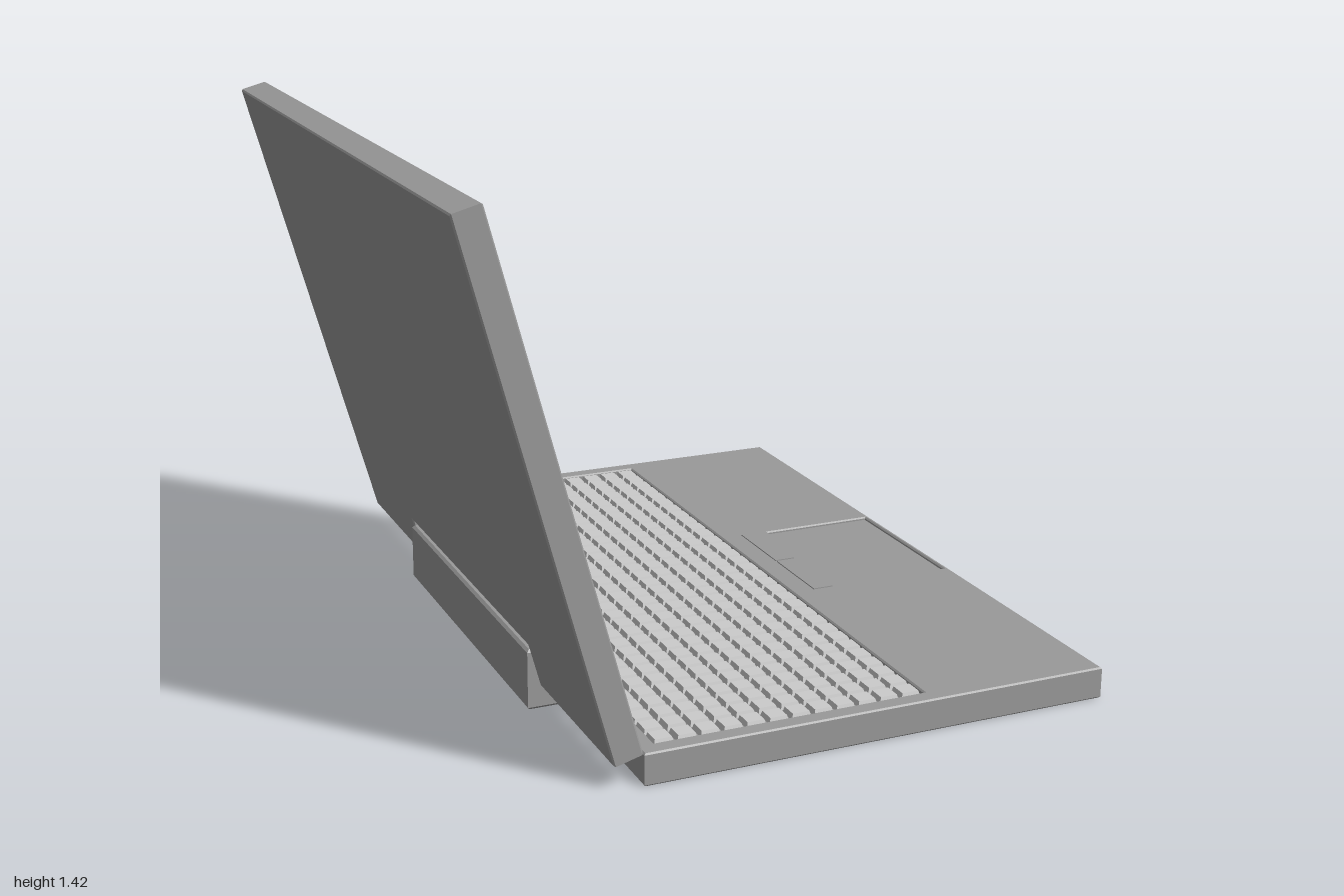
import * as THREE from 'three';
import { mergeGeometries } from 'three/addons/utils/BufferGeometryUtils.js';

const bodyMat = new THREE.MeshStandardMaterial({ color: 0x999999, flatShading: true });
const lightMat = new THREE.MeshStandardMaterial({ color: 0xcccccc, flatShading: true });

// corners of a rectangle
const rect = (x0, y0, x1, y1) => [[x0, y0], [x1, y0], [x1, y1], [x0, y1]];
const toVectors = (pts) => pts.map(([x, y]) => new THREE.Vector2(x, y));

// chamfered slab of height h from an outline with optional holes
function slab(outline, h, chamfer, holes = []) {
  const shape = new THREE.Shape(toVectors(outline));
  for (const hole of holes) shape.holes.push(new THREE.Path(toVectors(hole)));
  const geo = new THREE.ExtrudeGeometry(shape, {
    depth: h - 2 * chamfer, bevelEnabled: true, bevelSegments: 1,
    bevelThickness: chamfer, bevelSize: chamfer, bevelOffset: -chamfer,
  });
  return geo.translate(0, 0, chamfer);
}

function add(parent, name, geo, mat = bodyMat) {
  const mesh = new THREE.Mesh(geo, mat);
  mesh.name = name;
  parent.add(mesh);
  return mesh;
}

// slab lying flat, starting at height y
const flat = (outline, y, h, chamfer, holes) =>
  slab(outline, h, chamfer, holes).rotateX(-Math.PI / 2).translate(0, y, 0);

// slab standing upright facing +x, its back at x
const upright = (outline, x, h, chamfer, holes) =>
  slab(outline, h, chamfer, holes).rotateY(Math.PI / 2).translate(x, 0, 0);

function createBase() {
  const base = new THREE.Group();
  base.name = 'base';
  const outline = rect(-0.42, -1, 0.855, 1);
  const keyWell = rect(-0.376, -0.953, 0.357, 0.953);
  const padWell = rect(0.507, -0.235, 0.842, 0.235);

  // lower shell, and top deck with openings for keys and trackpad
  add(base, 'lowerShell', flat(outline, 0, 0.07, 0.004));
  add(base, 'topDeck', flat(outline, 0.06, 0.025, 0.004, [keyWell, padWell]));
  add(base, 'trackpad', flat(padWell, 0.065, 0.012, 0.001));

  // two buttons behind the trackpad
  for (const s of [-1, 1]) {
    const button = new THREE.BoxGeometry(0.06, 0.006, 0.232);
    add(base, 'trackpadButton', button.translate(0.45, 0.085, s * 0.12));
  }

  // grid of tapered keys
  const pitch = 0.0611, columns = 12, rows = 31;
  const key = new THREE.CylinderGeometry(0.045 / Math.SQRT2, 0.054 / Math.SQRT2, 0.017, 4, 1)
    .rotateY(Math.PI / 4);
  const keys = [];
  for (let i = 0; i < columns; i++) {
    for (let j = 0; j < rows; j++) {
      const x = -0.0095 + (i - (columns - 1) / 2) * pitch;
      const z = (j - (rows - 1) / 2) * pitch;
      keys.push(key.clone().translate(x, 0.0765, z));
    }
  }
  add(base, 'keys', mergeGeometries(keys), lightMat);
  return base;
}

function createLid() {
  const lid = new THREE.Group();
  lid.name = 'lid';
  // outline with a notch at the bottom for the hinge
  const height = 1.387, notch = 0.12;
  const outline = [
    [-1, 0], [-0.503, 0], [-0.503, notch], [0.503, notch],
    [0.503, 0], [1, 0], [1, height], [-1, height],
  ];
  const opening = rect(-0.97, 0.138, 0.97, 1.358);
  add(lid, 'lidShell', upright(outline, -0.077, 0.063, 0.004));
  add(lid, 'bezel', upright(outline, -0.023, 0.023, 0.004, [opening]));
  add(lid, 'screen', upright(opening, -0.02, 0.01, 0.001), lightMat);

  lid.position.set(-0.422, 0.085, 0);
  lid.rotation.z = THREE.MathUtils.degToRad(15.3);
  return lid;
}

export function createModel() {
  const laptop = new THREE.Group();
  laptop.name = 'laptop';
  laptop.add(createBase(), createLid());
  // hinge block behind the base
  add(laptop, 'hinge', flat(rect(-0.53, -0.5, -0.42, 0.5), 0, 0.165, 0.007));
  return laptop;
}
